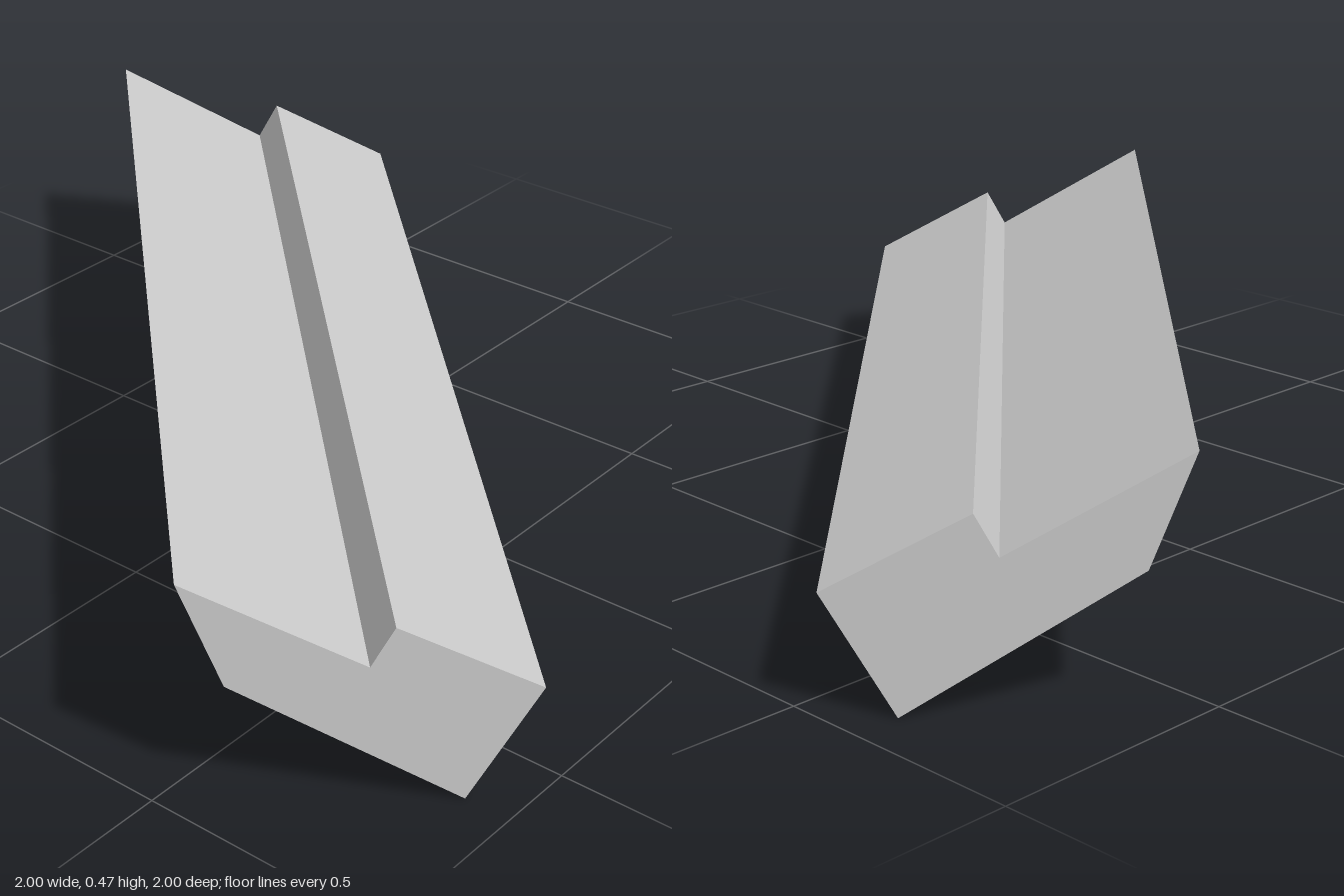
import * as THREE from 'three';

export function createModel() {
  const group = new THREE.Group();
  group.name = 'notchedBeam';

  const lightGrey = new THREE.MeshStandardMaterial({ color: 0xcccccc });
  lightGrey.name = 'lightGrey';

  // Cross-section: sloping top with a small step, tapered sides, tilted base
  const profile = new THREE.Shape([
    [-0.307, 0.467], [-0.23, 0.262], [0.178, 0],
    [0.307, 0.223], [0.053, 0.36], [0.011, 0.284],
  ].map(([x, y]) => new THREE.Vector2(x, y)));

  // Straight beam centred on its length
  const length = 2.213;
  const geometry = new THREE.ExtrudeGeometry(profile, { depth: length, bevelEnabled: false });
  geometry.translate(0, 0, -length / 2);

  // Laid diagonally across the ground
  const beam = new THREE.Mesh(geometry, lightGrey);
  beam.name = 'beam';
  beam.rotation.y = -Math.PI / 4;
  group.add(beam);

  return group;
}
